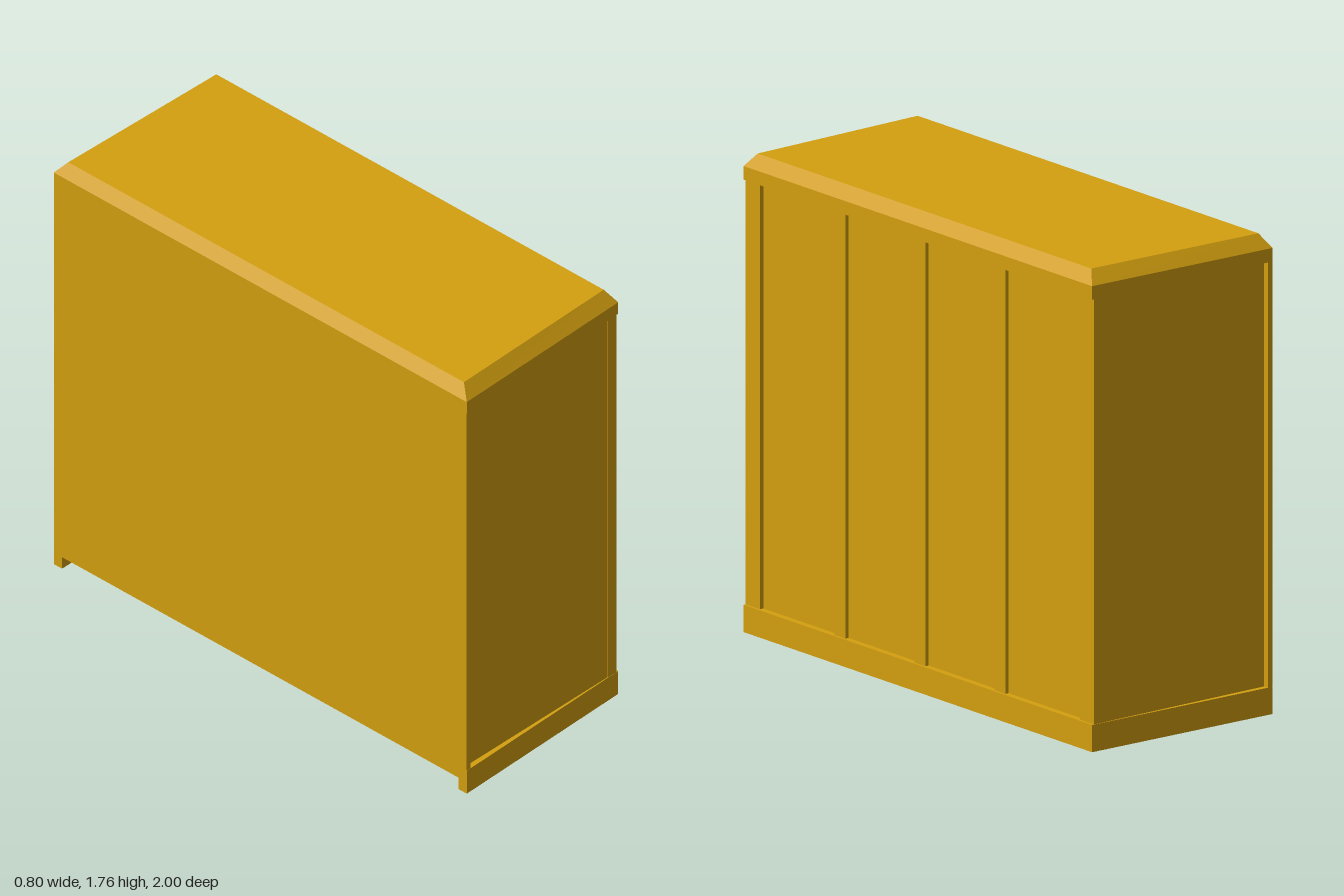
import * as THREE from 'three';

const material = new THREE.MeshStandardMaterial({ color: 0xd4a010, flatShading: true });

// Box given by its minimum and maximum corners
function box(name, x0, x1, y0, y1, z0, z1) {
  const mesh = new THREE.Mesh(new THREE.BoxGeometry(x1 - x0, y1 - y0, z1 - z0), material);
  mesh.name = name;
  mesh.position.set((x0 + x1) / 2, (y0 + y1) / 2, (z0 + z1) / 2);
  return mesh;
}

// Closed solid lofted through four-cornered rings, bottom to top
function loft(rings) {
  const pos = [], index = [];
  rings.forEach(r => r.forEach(p => pos.push(...p)));
  for (let k = 0; k < rings.length - 1; k++) {
    for (let i = 0; i < 4; i++) {
      const a = k * 4 + i, b = k * 4 + (i + 1) % 4;
      index.push(a, b, b + 4, a, b + 4, a + 4);
    }
  }
  const t = (rings.length - 1) * 4;
  index.push(0, 2, 1, 0, 3, 2, t, t + 1, t + 2, t, t + 2, t + 3);
  const g = new THREE.BufferGeometry();
  g.setAttribute('position', new THREE.Float32BufferAttribute(pos, 3));
  g.setIndex(index);
  const flat = g.toNonIndexed();
  flat.computeVertexNormals();
  return flat;
}

// Slightly tapered plan outline, drawn in by dx and dz
const ring = (y, dx = 0, dz = 0) => [
  [-0.4 + dx, y, 1 - dz], [0.4 - dx, y, 0.98 - dz],
  [0.4 - dx, y, -0.98 + dz], [-0.4 + dx, y, -1 + dz],
];

export function createModel() {
  const group = new THREE.Group();
  group.name = 'cabinet';
  const low = 0.1, high = 1.66, face = 0.978;

  // Main body, raised inside the plinth
  group.add(box('body', -0.4, 0.375, 0.05, high, -face, face));

  // Stiles dividing the four recessed panels
  for (const [z0, z1] of [[0.9, face], [0.42, 0.48], [-0.03, 0.03], [-0.48, -0.42], [-face, -0.9]]) {
    group.add(box('panelStile', 0.37, 0.39, low - 0.01, high, z0, z1));
  }

  // Corner trim on the front, and edge posts on both ends
  group.add(box('cornerTrim', 0.345, 0.39, low, high, 0.96, face + 0.002));
  group.add(box('frontEdgePost', -0.4, -0.38, low, high, 0.96, 0.999));
  group.add(box('backEdgePost', -0.4, -0.38, low, high, -0.999, -0.96));

  // Plinth skirt around three sides, open at -x
  const plan = new THREE.Shape([
    [-0.4, -1], [0.4, -0.98], [0.4, 0.98], [-0.4, 1],
    [-0.4, 0.96], [0.37, 0.96], [0.37, -0.96], [-0.4, -0.96],
  ].map(([x, z]) => new THREE.Vector2(x, z)));
  const plinth = new THREE.Mesh(
    new THREE.ExtrudeGeometry(plan, { depth: low, bevelEnabled: false }), material);
  plinth.name = 'plinth';
  plinth.rotation.x = -Math.PI / 2;
  group.add(plinth);

  // Top slab with a chamfered upper edge
  const top = new THREE.Mesh(
    loft([ring(high), ring(1.71), ring(1.76, 0.03, 0.042)]), material);
  top.name = 'top';
  group.add(top);

  return group;
}
